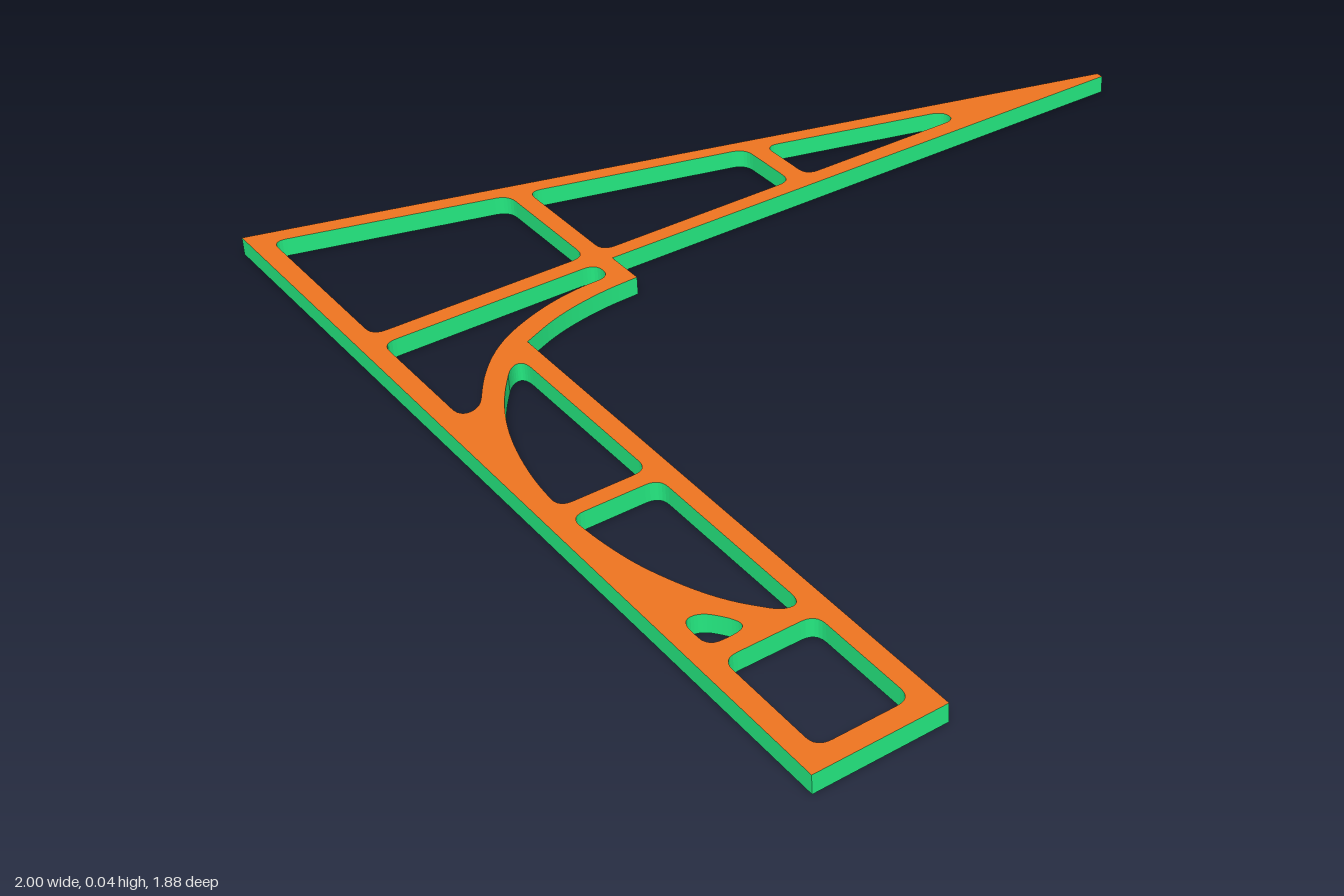
import * as THREE from 'three';

const THICKNESS = 0.04;
const SOFT = 1; // corner size for points on a smooth curve (limited to half an edge)

// Traces a closed path through [x, z, cornerSize] points, rounding every corner
function roundedPath(path, points, defaultSize) {
  const pts = points.map(([x, z]) => new THREE.Vector2(x, -z));
  const n = pts.length;
  pts.forEach((p, i) => {
    const prev = pts[(i + n - 1) % n], next = pts[(i + 1) % n];
    const size = points[i][2] ?? defaultSize;
    const trim = (q) => p.clone().lerp(q, Math.min(0.5, size / p.distanceTo(q)));
    const a = trim(prev), b = trim(next);
    if (i === 0) path.moveTo(a.x, a.y); else path.lineTo(a.x, a.y);
    if (size > 0) path.quadraticCurveTo(p.x, p.y, b.x, b.y);
  });
  path.closePath();
  return path;
}

// Outer edge, anticlockwise from above: long arm, concave sweep, step and tall fin
const outline = [
  [-1, 0.94], [1, 0.94], [1, 0.672], [-0.305, 0.672],
  [-0.348, 0.58, SOFT], [-0.371, 0.47, SOFT], [-0.375, 0.378], [-0.468, 0.378],
  [-0.461, -0.94], [-0.478, -0.94],
];

// Openings, clockwise from above
const windows = [
  // fin windows, top to bottom
  [[-0.55, -0.542], [-0.505, -0.542], [-0.505, -0.135], [-0.662, -0.135]],
  [[-0.678, -0.093], [-0.505, -0.093], [-0.505, 0.378], [-0.805, 0.378]],
  [[-0.816, 0.418], [-0.508, 0.418], [-0.508, 0.898], [-0.948, 0.898]],
  // window outside the curved rib
  [[-0.468, 0.418], [-0.412, 0.418], [-0.412, 0.5, SOFT], [-0.39, 0.6, SOFT], [-0.34, 0.71, SOFT],
    [-0.265, 0.79, SOFT], [-0.165, 0.855], [-0.165, 0.898], [-0.468, 0.898]],
  // windows inside the curved rib
  [[0.185, 0.712], [0.185, 0.897], [0.08, 0.89, SOFT], [-0.05, 0.86, SOFT], [-0.16, 0.81, SOFT],
    [-0.25, 0.742], [-0.25, 0.712]],
  [[0.222, 0.712], [0.655, 0.712], [0.655, 0.747], [0.565, 0.817, SOFT], [0.43, 0.869, SOFT],
    [0.325, 0.889, SOFT], [0.222, 0.897]],
  // small corner window and end window
  [[0.655, 0.825], [0.655, 0.898], [0.575, 0.898], [0.574, 0.86], [0.63, 0.82]],
  [[0.695, 0.712], [0.955, 0.712], [0.955, 0.898], [0.695, 0.898]],
];

export function createModel() {
  const shape = roundedPath(new THREE.Shape(), outline, 0);
  for (const w of windows) shape.holes.push(roundedPath(new THREE.Path(), w, 0.03));

  const geometry = new THREE.ExtrudeGeometry(shape, {
    depth: THICKNESS, bevelEnabled: false, curveSegments: 6,
  });
  geometry.rotateX(-Math.PI / 2); // lay the plate flat on the ground

  // Orange faces, green edges
  const faces = new THREE.MeshStandardMaterial({ color: 0xee7420 });
  const edges = new THREE.MeshStandardMaterial({ color: 0x24e880 });
  const frame = new THREE.Mesh(geometry, [faces, edges]);
  frame.name = 'bracketFrame';

  const group = new THREE.Group();
  group.name = 'flatBracket';
  group.add(frame);
  return group;
}
